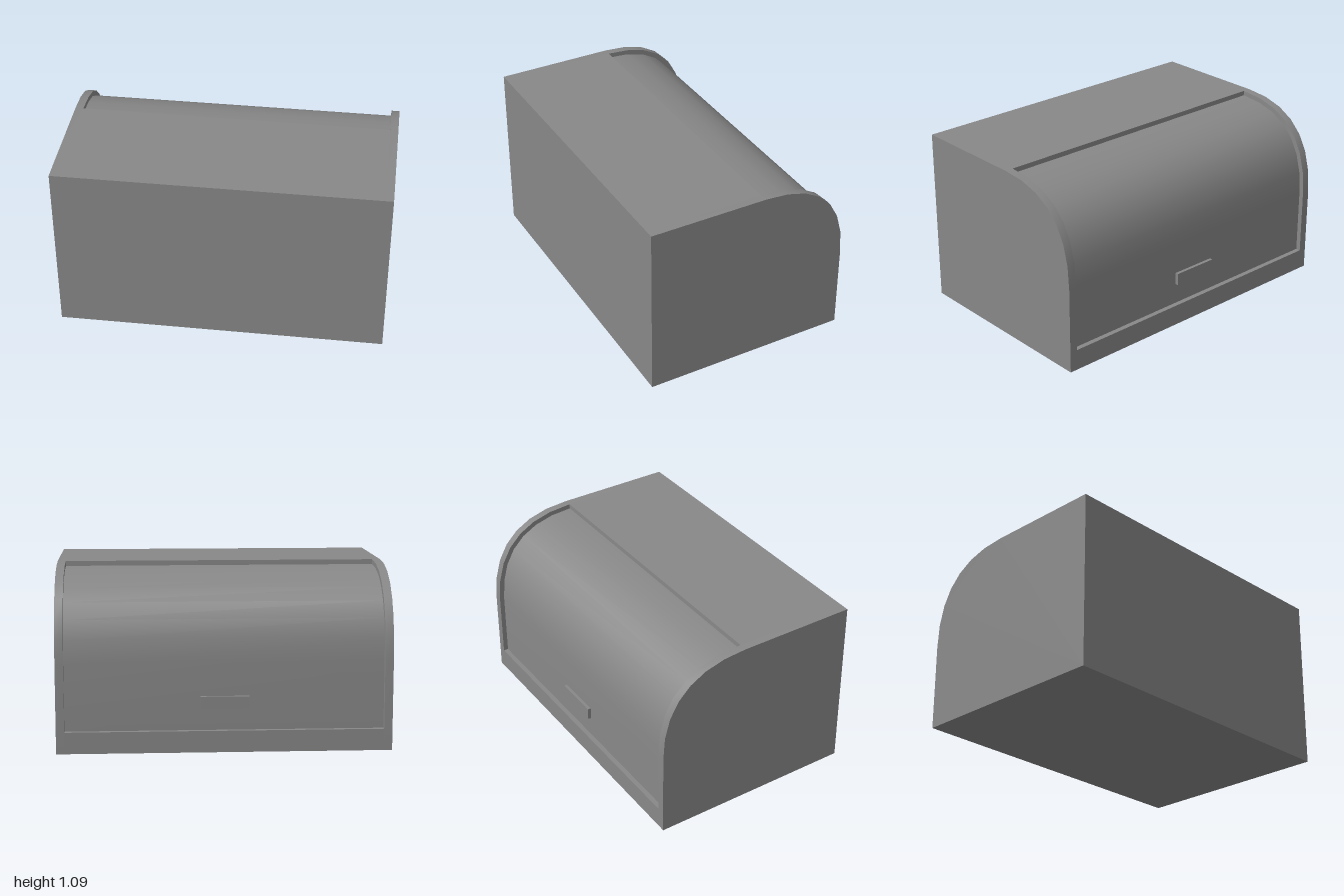
import * as THREE from 'three';
import { toCreasedNormals } from 'three/addons/utils/BufferGeometryUtils.js';

const W = 2, H = 1.086, D = 0.642;  // width, height, half depth
const WALL = 0.05, INSET = 0.03;    // panel thickness, recess of the lid
const BEND_Z = 0.09, BEND_Y = 0.535; // where the rounded back starts and ends
const LIP = 0.13;                   // height of the sill under the lid

export function createModel() {
  const group = new THREE.Group();
  group.name = 'breadBox';
  const material = new THREE.MeshStandardMaterial({ color: 0x888888 });

  const add = (name, geometry) => {
    const mesh = new THREE.Mesh(geometry, material);
    mesh.name = name;
    group.add(mesh);
  };

  // Box given by its limits on each axis
  const box = (name, x0, x1, y0, y1, z0, z1) => add(name,
    new THREE.BoxGeometry(x1 - x0, y1 - y0, z1 - z0)
      .translate((x0 + x1) / 2, (y0 + y1) / 2, (z0 + z1) / 2));

  // Profile drawn in (-z, y), extruded along x
  const extrudeX = (name, shape, x0, x1) => {
    const g = new THREE.ExtrudeGeometry(shape, { depth: x1 - x0, bevelEnabled: false, curveSegments: 7 });
    g.rotateY(Math.PI / 2).translate(x0, 0, 0);
    add(name, toCreasedNormals(g, Math.PI / 6));
  };

  // Side panels with the rounded upper back corner
  const side = new THREE.Shape();
  side.moveTo(-D, 0);
  side.lineTo(D, 0);
  side.lineTo(D, BEND_Y);
  side.quadraticCurveTo(D, H, BEND_Z, H);
  side.lineTo(-D, H);
  side.closePath();
  const inner = W / 2 - WALL;
  extrudeX('leftSide', side, inner, W / 2);
  extrudeX('rightSide', side, -W / 2, -inner);

  // Fixed panels between the sides
  box('frontPanel', -inner, inner, 0, H, D - WALL, D);
  box('topPanel', -inner, inner, H - WALL, H, -BEND_Z, D - WALL);
  box('floor', -inner, inner, 0, WALL, -D + WALL, D - WALL);
  box('sill', -inner, inner, 0, LIP, -D, -D + WALL);

  // Curved roll lid, set back from the rims
  const out = D - INSET, top = H - INSET, t = 0.03;
  const lid = new THREE.Shape();
  lid.moveTo(out, LIP - 0.02);
  lid.lineTo(out, BEND_Y);
  lid.quadraticCurveTo(out, top, BEND_Z, top);
  lid.lineTo(BEND_Z - 0.02, top);
  lid.lineTo(BEND_Z - 0.02, top - t);
  lid.lineTo(BEND_Z, top - t);
  lid.quadraticCurveTo(out - t, top - t, out - t, BEND_Y);
  lid.lineTo(out - t, LIP - 0.02);
  lid.closePath();
  extrudeX('lid', lid, -inner, inner);

  // Pull bar on the lid
  box('handle', -0.145, 0.145, 0.26, 0.335, -0.632, -out + 0.01);

  return group;
}
